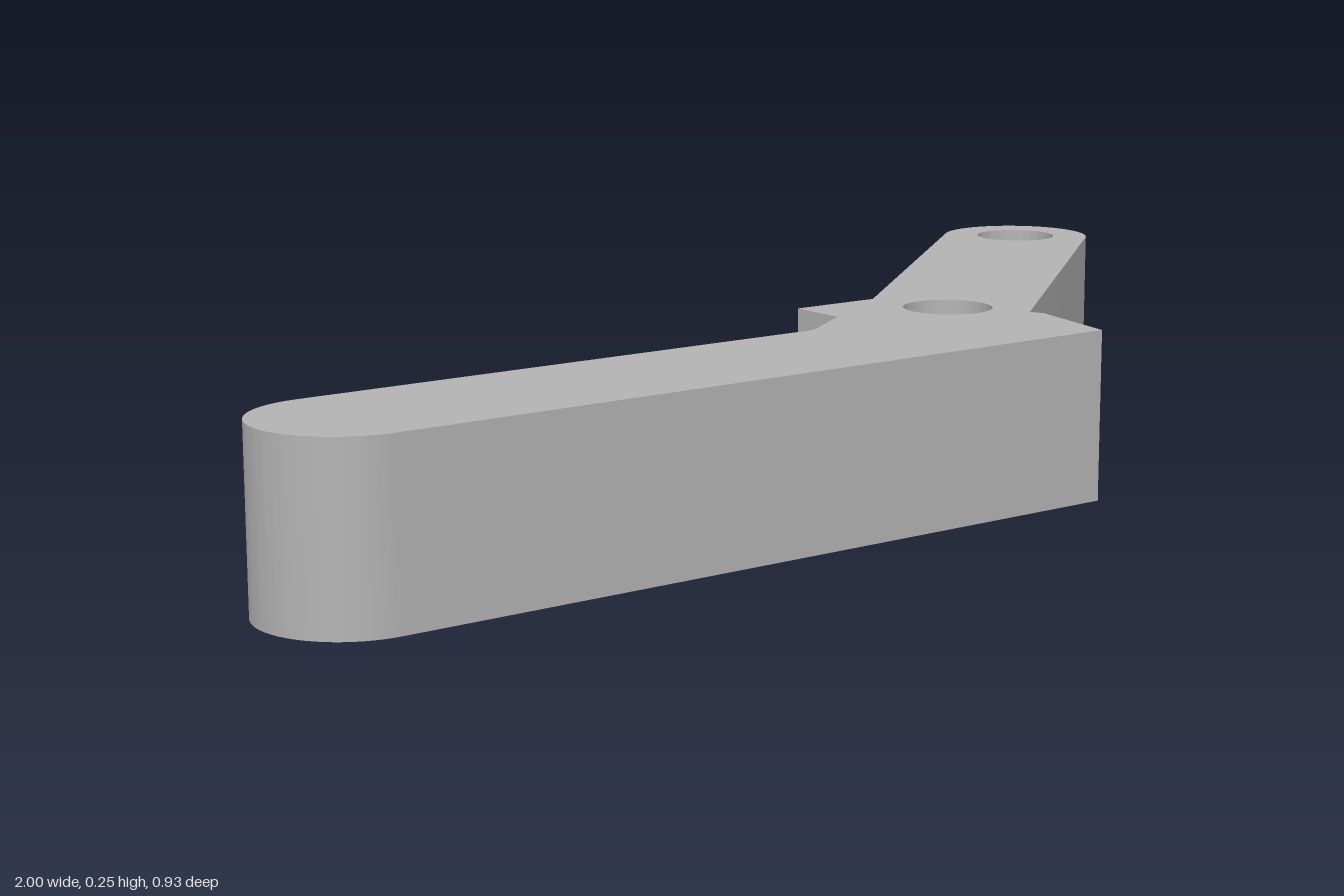
import * as THREE from 'three';
import { toCreasedNormals } from 'three/addons/utils/BufferGeometryUtils.js';

export function createModel() {
  const group = new THREE.Group();
  group.name = 'crankLever';
  const grey = new THREE.MeshStandardMaterial({ color: 0xb4b4b4 });
  grey.name = 'grey';

  const height = 0.255;
  const tilt = THREE.MathUtils.degToRad(40); // angle of the short arm
  const tip = { x: 0.874, y: 0.34, r: 0.126 }; // rounded end of the short arm
  const end = { x: -0.873, y: -0.336, r: 0.127 }; // rounded end of the long arm

  // Outline in plan, with shape y pointing to the back
  const s = new THREE.Shape();
  s.moveTo(end.x, end.y - end.r);
  s.lineTo(0.305, -0.463);
  s.lineTo(0.338, -0.305);
  s.lineTo(0.33, -0.283);
  s.absarc(tip.x, tip.y, tip.r, tilt - Math.PI / 2, tilt + Math.PI / 2, false);
  // Square stop and sloped notch behind the pivot
  s.lineTo(0.218, -0.047);
  s.lineTo(0.07, -0.047);
  s.lineTo(0.07, -0.143);
  s.lineTo(-0.03, -0.209);
  s.absarc(end.x, end.y, end.r, Math.PI / 2, Math.PI * 1.5, false);

  // Pivot hole and tip hole
  for (const [x, y] of [[0.26, -0.175], [tip.x, tip.y]]) {
    const hole = new THREE.Path();
    hole.absarc(x, y, 0.068, 0, Math.PI * 2, true);
    s.holes.push(hole);
  }

  let geometry = new THREE.ExtrudeGeometry(s, { depth: height, bevelEnabled: false, curveSegments: 32 });
  geometry.rotateX(-Math.PI / 2);
  geometry = toCreasedNormals(geometry, 0.3);

  const lever = new THREE.Mesh(geometry, grey);
  lever.name = 'leverBody';
  group.add(lever);
  return group;
}
